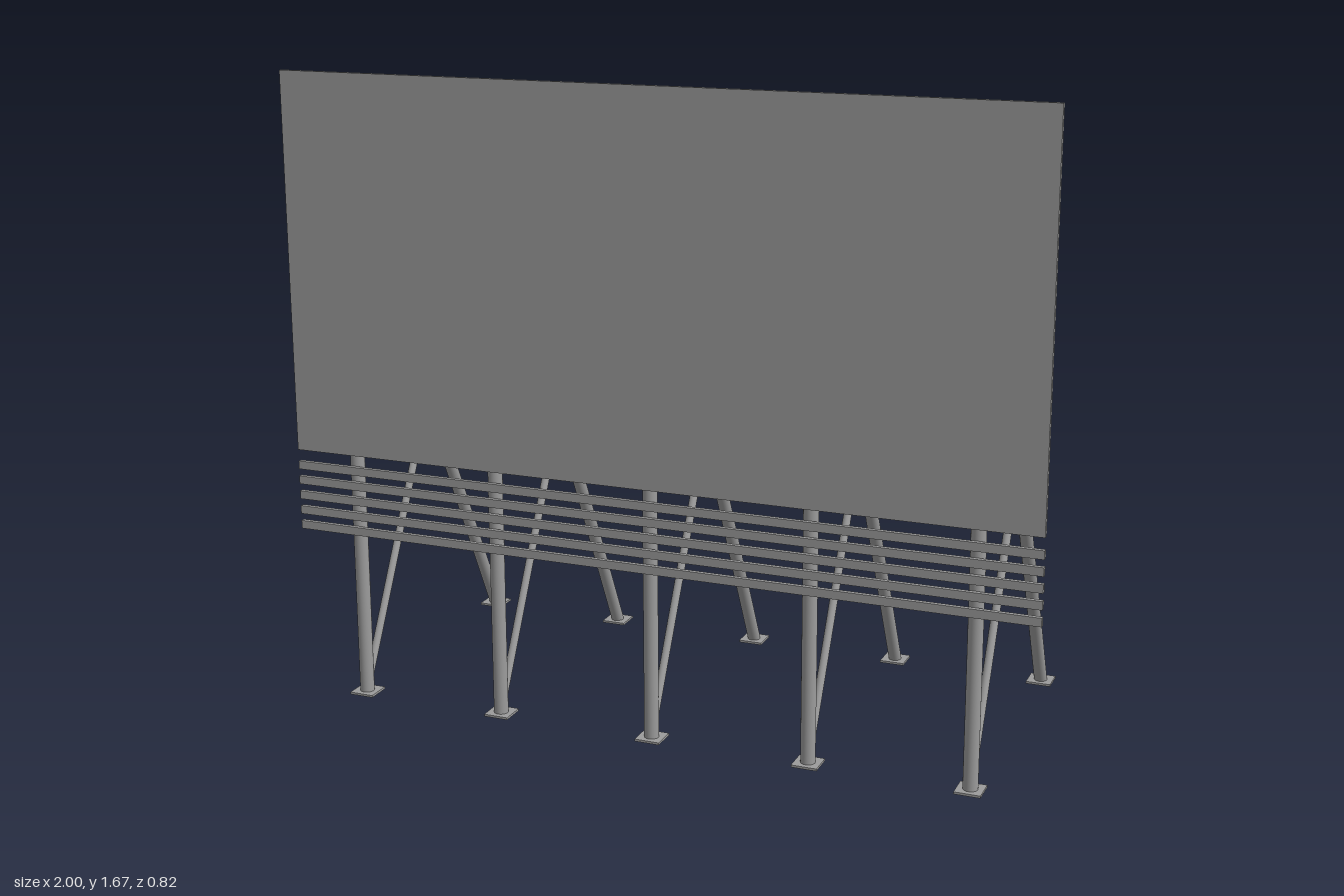
import * as THREE from 'three';

const material = new THREE.MeshStandardMaterial({ color: 0x9c9c9c });

function box(name, w, h, d, x, y, z) {
  const mesh = new THREE.Mesh(new THREE.BoxGeometry(w, h, d), material);
  mesh.name = name;
  mesh.position.set(x, y, z);
  return mesh;
}

// Round tube between two points of the y-z plane
function tube(name, radius, [y1, z1], [y2, z2]) {
  const a = new THREE.Vector3(0, y1, z1);
  const b = new THREE.Vector3(0, y2, z2);
  const dir = b.clone().sub(a);
  const mesh = new THREE.Mesh(new THREE.CylinderGeometry(radius, radius, dir.length(), 24), material);
  mesh.name = name;
  mesh.position.copy(a).add(b).multiplyScalar(0.5);
  mesh.quaternion.setFromUnitVectors(new THREE.Vector3(0, 1, 0), dir.normalize());
  return mesh;
}

// One A-frame: post, raking leg, strut, brace and foot plates
function supportFrame(x) {
  const frame = new THREE.Group();
  frame.name = 'supportFrame';
  frame.position.x = x;
  const postZ = 0.375, footZ = -0.375;
  frame.add(
    tube('post', 0.019, [0.002, postZ], [1.544, postZ]),
    tube('rakingLeg', 0.0175, [0.006, footZ], [1.478, 0.37]),
    tube('strut', 0.0105, [0.745, postZ], [0.745, 0]),
    tube('brace', 0.0105, [0.025, 0.37], [0.72, 0.005]),
    box('gusset', 0.01, 0.05, 0.032, 0, 0.71, 0.018),
    box('frontFootPlate', 0.067, 0.006, 0.067, 0, 0.003, 0.374),
    box('rearFootPlate', 0.067, 0.006, 0.067, 0, 0.003, -0.376)
  );
  return frame;
}

export function createModel() {
  const model = new THREE.Group();
  model.name = 'billboard';

  // Large display board
  model.add(box('board', 2, 0.996, 0.012, 0, 1.17, 0.4));

  // Horizontal slats below the board
  for (let i = 0; i < 5; i++) {
    model.add(box('slat', 2, 0.022, 0.012, 0, 0.465 + i * 0.0412, 0.4));
  }

  // Row of support frames
  for (const x of [-0.838, -0.433, -0.002, 0.421, 0.836]) model.add(supportFrame(x));

  return model;
}
